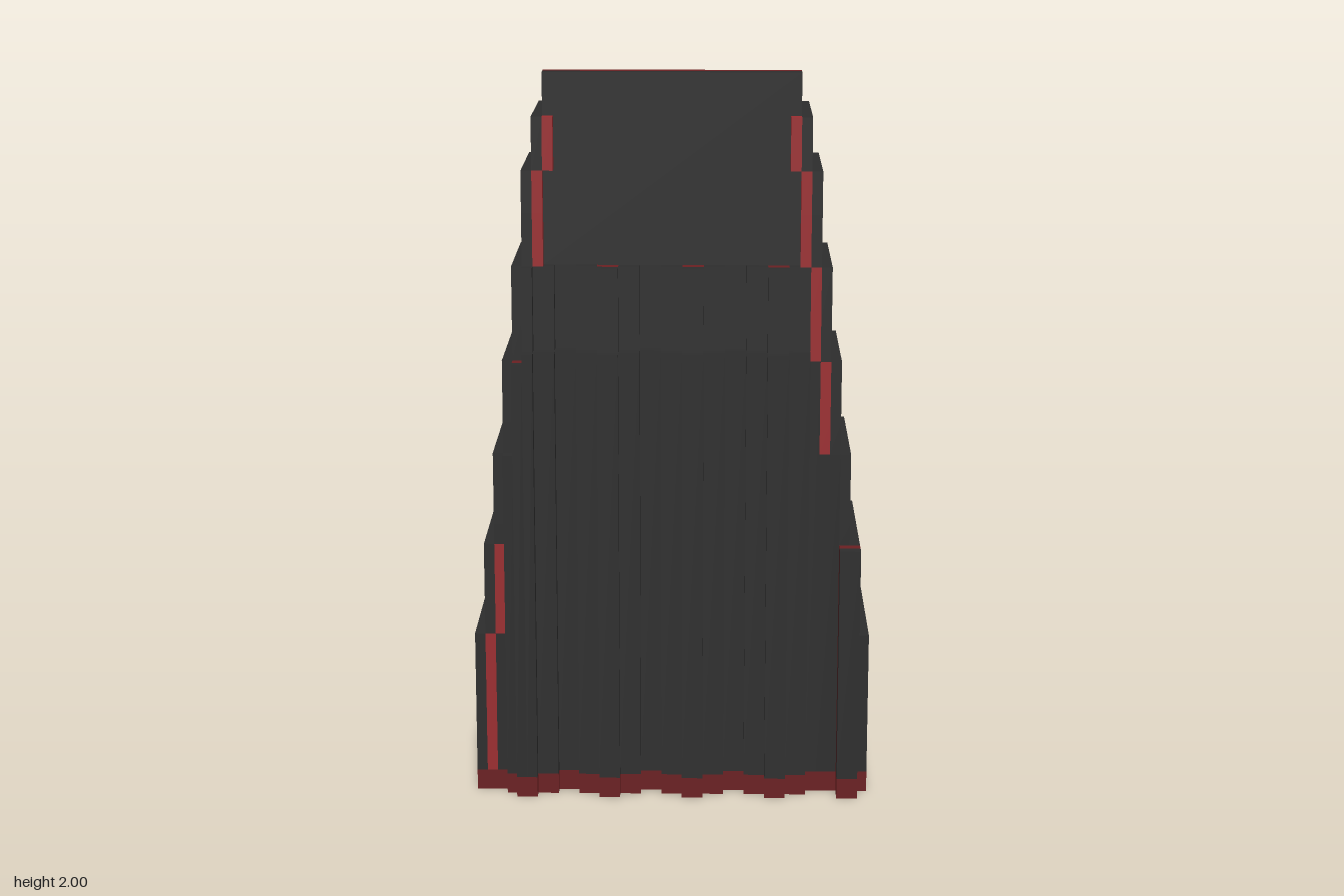
import * as THREE from 'three';

const U = 2 / 70; // one block

export function createModel() {
  const model = new THREE.Group();
  const cloth = new THREE.MeshStandardMaterial({ color: 0x2d2d2d });
  cloth.name = 'charcoal cloth';
  const sideRed = new THREE.MeshStandardMaterial({ color: 0x9b2d30 });
  sideRed.name = 'bright red lining';
  const darkRed = new THREE.MeshStandardMaterial({ color: 0x6b2022 });
  darkRed.name = 'dark red lining';

  const group = (name) => {
    const g = new THREE.Group();
    g.name = name;
    model.add(g);
    return g;
  };
  // Box given by its limits in blocks
  const box = (parent, name, material, x0, x1, y0, y1, z0, z1) => {
    if (x1 <= x0 || y1 <= y0 || z1 <= z0) return;
    const geo = new THREE.BoxGeometry((x1 - x0) * U, (y1 - y0) * U, (z1 - z0) * U);
    const mesh = new THREE.Mesh(geo, material);
    mesh.position.set((x0 + x1) / 2 * U, (y0 + y1) / 2 * U, (z0 + z1) / 2 * U);
    mesh.name = name;
    parent.add(mesh);
  };

  // Side panels: narrowing outward steps, with the rear edge stepping forward
  const bandTops = [16, 25, 34, 43, 52, 61, 66];
  const rearTops = [27, 37, 47, 57, 66];
  const cuts = [...new Set([0, 2, ...bandTops, ...rearTops])].sort((a, b) => a - b);
  for (const s of [1, -1]) {
    const panel = group(s > 0 ? 'leftSidePanel' : 'rightSidePanel');
    for (let i = 0; i < cuts.length - 1; i++) {
      const y0 = cuts[i], y1 = cuts[i + 1];
      const outer = 19 - bandTops.findIndex((t) => y1 <= t);
      const rear = -9 + rearTops.findIndex((t) => y1 <= t);
      const hem = y1 <= 2;
      const layer = (name, material, a, b, front) =>
        box(panel, name, hem ? darkRed : material,
          s > 0 ? a : -b, s > 0 ? b : -a, y0, y1, rear, front);
      layer('sideCloth', cloth, outer - 1, outer, 7);
      // the lining gives way to the front pleat in one band
      const covered = s > 0 && y0 >= 25 && y1 <= 34;
      layer('sideLining', sideRed, outer - 2, outer - 1, covered ? 6 : 7);
    }
  }

  // Front pleats: [x0, x1, level (0 valley, 1 shoulder, 2 ridge), top]
  const pleats = [
    [-17, -16, 0, 16], [-16, -15, 1, 34], [-15, -14, 2, 43], [-14, -13, 2, 52],
    [13, 14, 0, 43], [14, 16, 0, 34], [16, 18, 2, 25],
  ];
  const repeat = [1, 0, 1, 2];
  for (let x = -13, i = 0; x < 13; x += 2, i++) pleats.push([x, x + 2, repeat[i % 4], 52]);
  const front = group('pleatedFront');
  for (const [x0, x1, level, top] of pleats) {
    const z = 6 + level;
    const mid = Math.min(top, 44);
    box(front, 'pleatHem', darkRed, x0, x1, 0, 2, z - 1, z + 1);
    box(front, 'pleatCloth', cloth, x0, x1, 2, mid, z, z + 1);
    box(front, 'pleatLining', darkRed, x0, x1, 2, mid, z - 1, z);
    // upper tier sits one block further back
    box(front, 'upperPleatCloth', cloth, x0, x1, 44, top, z - 1, z);
    box(front, 'upperPleatLining', darkRed, x0, x1, 44, top, z - 2, z - 1);
  }

  // Flat top plate with a stepped round opening in its lining
  const plate = group('topPlate');
  box(plate, 'plateCloth', cloth, -12, 12, 52, 70, 5, 6);
  box(plate, 'lowerPlateLining', darkRed, -12, 12, 52, 58, 4, 5);
  box(plate, 'upperPlateLining', darkRed, -12, 12, 64, 70, 4, 5);
  [1, 2, 3, 3, 2, 1].forEach((half, i) => {
    box(plate, 'plateLining', darkRed, -12, -half, 58 + i, 59 + i, 4, 5);
    box(plate, 'plateLining', darkRed, half, 12, 58 + i, 59 + i, 4, 5);
  });

  return model;
}
